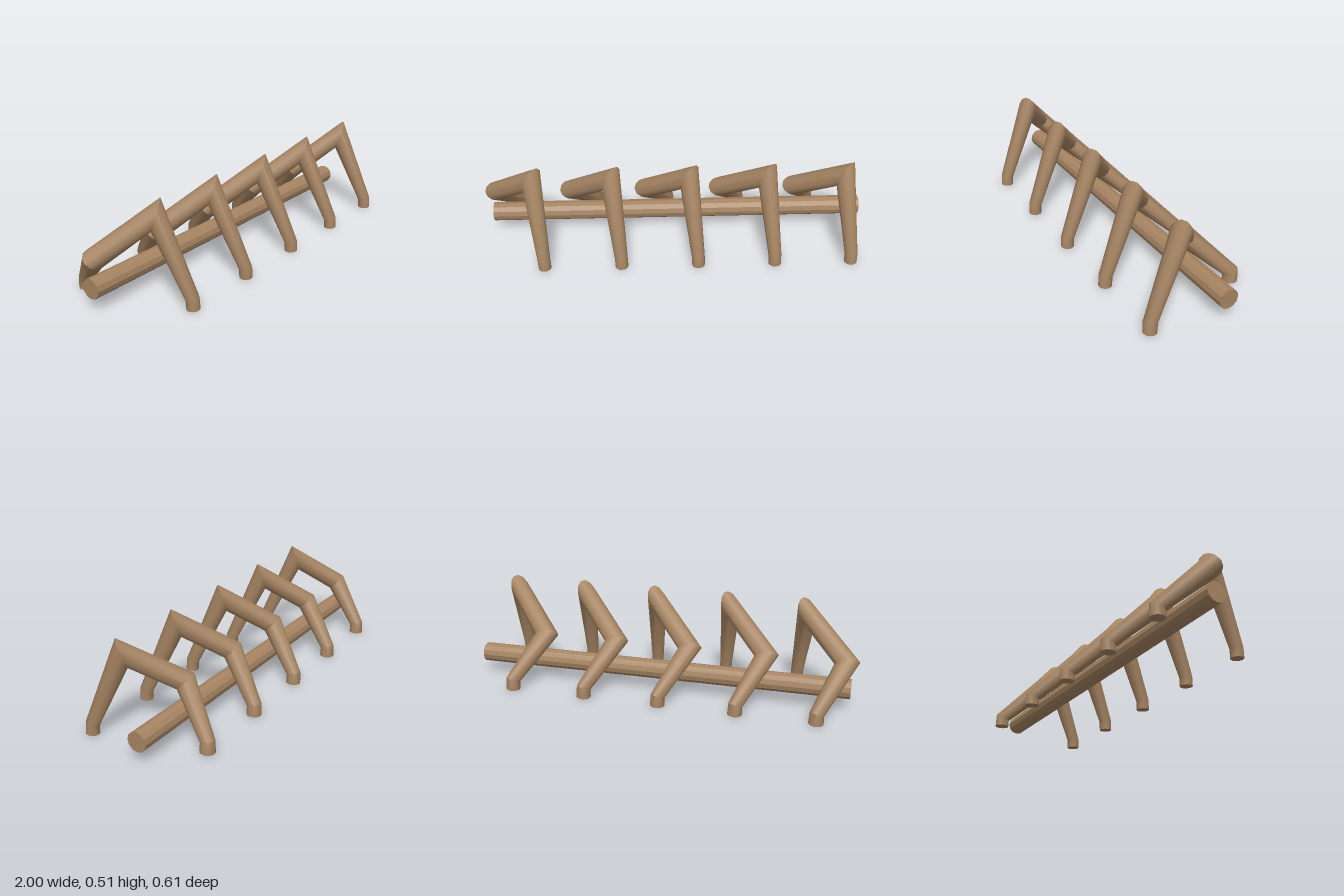
import * as THREE from 'three';
import { toCreasedNormals } from 'three/addons/utils/BufferGeometryUtils.js';

const SIDES = 12;

// Tapered tube along straight segments, with mitred joints and closed ends.
function mitredTube(points, radii) {
  const dirs = points.slice(1).map((p, i) => p.clone().sub(points[i]).normalize());
  const side = new THREE.Vector3(1, 0, 0);
  let spokes = [];
  for (let j = 0; j < SIDES; j++) {
    spokes.push(side.clone().applyAxisAngle(dirs[0], (j / SIDES) * Math.PI * 2));
  }

  const positions = [];
  const index = [];
  points.forEach((p, i) => {
    const tIn = dirs[Math.max(i - 1, 0)];
    const tOut = dirs[Math.min(i, dirs.length - 1)];
    const normal = tIn.clone().add(tOut).normalize();
    for (const s of spokes) {
      const slide = -s.dot(normal) / tIn.dot(normal);
      const v = s.clone().addScaledVector(tIn, slide).multiplyScalar(radii[i]).add(p);
      positions.push(v.x, v.y, v.z);
    }
    const turn = new THREE.Quaternion().setFromUnitVectors(tIn, tOut);
    spokes = spokes.map((s) => s.clone().applyQuaternion(turn));
  });

  // Walls
  for (let i = 0; i < points.length - 1; i++) {
    for (let j = 0; j < SIDES; j++) {
      const k = (j + 1) % SIDES;
      const a = i * SIDES + j, b = i * SIDES + k;
      index.push(a, b, b + SIDES, a, b + SIDES, a + SIDES);
    }
  }
  // End caps
  const last = (points.length - 1) * SIDES;
  for (let j = 1; j < SIDES - 1; j++) {
    index.push(0, j + 1, j, last, last + j, last + j + 1);
  }

  const geometry = new THREE.BufferGeometry();
  geometry.setAttribute('position', new THREE.Float32BufferAttribute(positions, 3));
  geometry.setIndex(index);
  return toCreasedNormals(geometry, 0.75);
}

export function createModel() {
  const model = new THREE.Group();
  model.name = 'branchRack';

  const wood = new THREE.MeshStandardMaterial({ color: 0xa68462 });
  wood.name = 'brown wood';
  const facetedWood = wood.clone();
  facetedWood.flatShading = true;

  // Long rail running through all the bent branches
  const railGeometry = new THREE.CylinderGeometry(0.05, 0.05, 1.965, 12);
  railGeometry.rotateZ(Math.PI / 2);
  const rail = new THREE.Mesh(railGeometry, facetedWood);
  rail.name = 'rail';
  rail.position.set(0.0145, 0.11, -0.07);
  model.add(rail);

  // Bent branch: front foot, peak, elbow, back foot
  const path = [
    [-0.674, 0, 0.274],
    [-0.676, 0.05, 0.272],
    [-0.718, 0.43, 0.105],
    [-0.939, 0.245, -0.07],
    [-0.822, 0.05, -0.268],
    [-0.82, 0, -0.268],
  ].map((p) => new THREE.Vector3(...p));
  const branchGeometry = mitredTube(path, [0.033, 0.033, 0.05, 0.052, 0.035, 0.037]);

  for (let i = 0; i < 5; i++) {
    const branch = new THREE.Mesh(branchGeometry, wood);
    branch.name = `branch${i + 1}`;
    branch.position.x = i * 0.394;
    model.add(branch);
  }

  return model;
}
